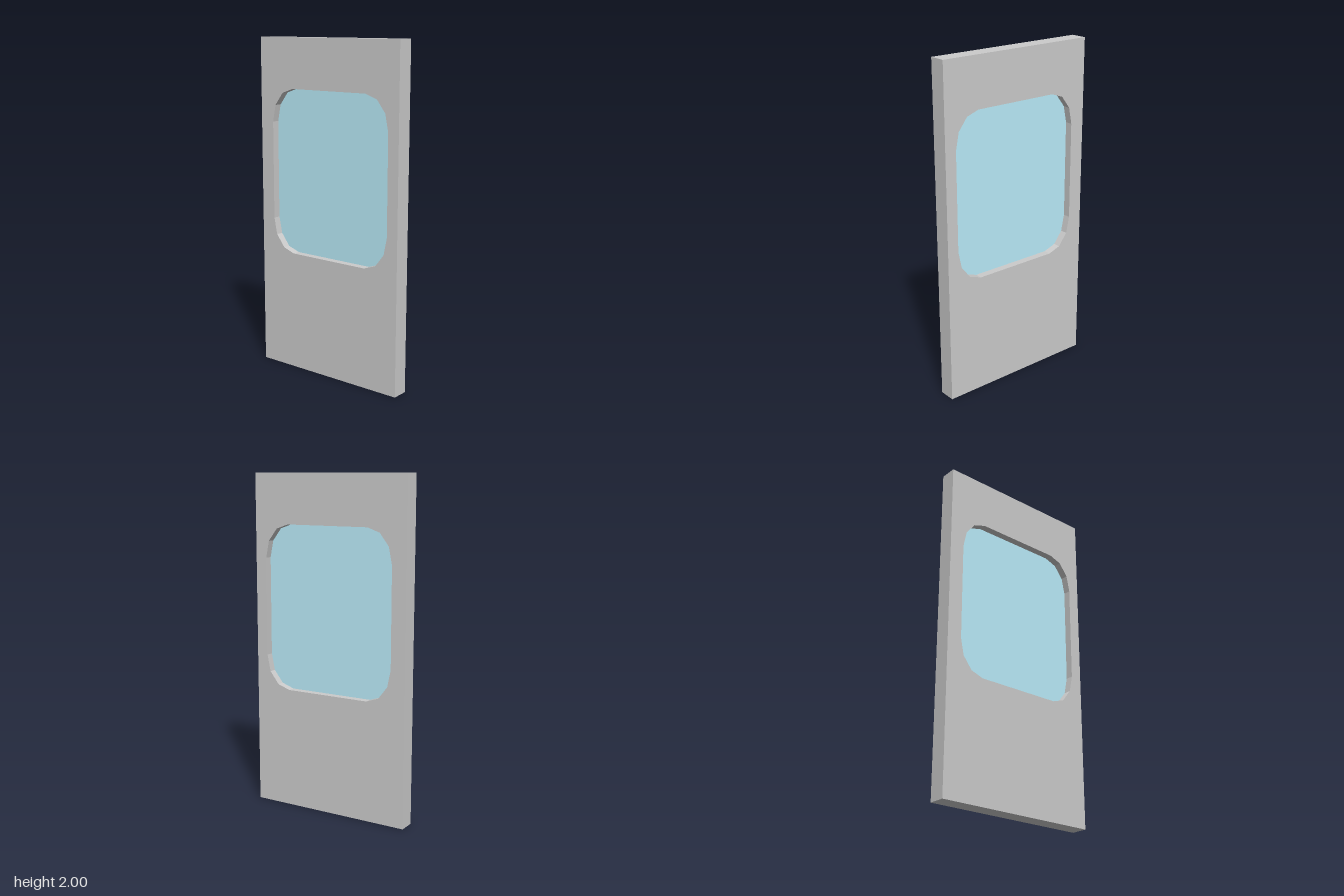
import * as THREE from 'three';

// Window outline with faceted elliptical corners
function windowPoints() {
  const x0 = -0.43, x1 = 0.41, y0 = 0.72, y1 = 1.705, rx = 0.155, ry = 0.2, steps = 3;
  const corners = [[x1 - rx, y1 - ry], [x0 + rx, y1 - ry], [x0 + rx, y0 + ry], [x1 - rx, y0 + ry]];
  const points = [];
  corners.forEach(([cx, cy], i) => {
    for (let s = 0; s <= steps; s++) {
      const a = (i + s / steps) * Math.PI / 2;
      points.push(new THREE.Vector2(cx + rx * Math.cos(a), cy + ry * Math.sin(a)));
    }
  });
  return points;
}

// Upright slab of the given thickness, centred on x = 0
function slab(name, shape, thickness, color) {
  const geometry = new THREE.ExtrudeGeometry(shape, { depth: thickness, bevelEnabled: false });
  geometry.translate(0, 0, -thickness / 2).rotateY(Math.PI / 2);
  const mesh = new THREE.Mesh(geometry, new THREE.MeshStandardMaterial({ color, flatShading: true }));
  mesh.name = name;
  return mesh;
}

export function createModel() {
  const group = new THREE.Group();
  group.name = 'windowedPanel';

  // Panel with a window opening
  const panel = new THREE.Shape([[-0.5, 0], [0.5, 0], [0.5, 2], [-0.5, 2]].map(p => new THREE.Vector2(...p)));
  panel.holes.push(new THREE.Path(windowPoints()));
  group.add(slab('panel', panel, 0.1, 0xcccccc));

  // Thin glass pane set midway in the opening
  group.add(slab('windowPane', new THREE.Shape(windowPoints()), 0.01, 0xbbedfb));
  return group;
}
